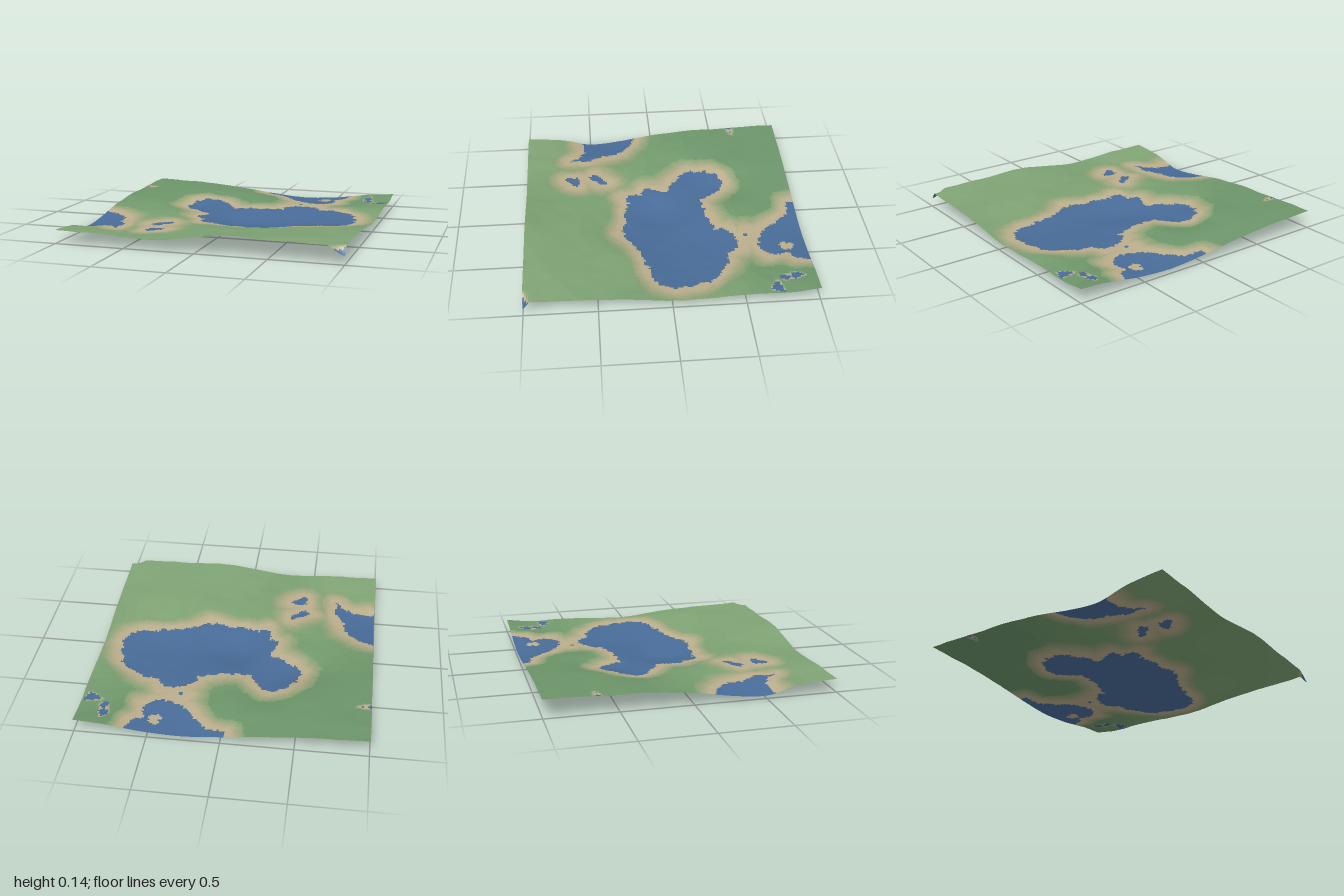
import * as THREE from 'three';

const CELLS = 144; // ground cells per side

// Ground heights in thousandths, rows from back to front, columns from x = -1 to x = 1
const HEIGHTS = [
  [142, 130, 119, 92, 62, 42, 52, 85, 105],
  [132, 130, 123, 103, 84, 60, 55, 71, 82],
  [125, 122, 111, 67, 82, 68, 56, 74, 87],
  [118, 111, 66, 50, 50, 44, 42, 53, 74],
  [92, 96, 87, 56, 10, 22, 30, 48, 68],
  [48, 70, 88, 62, 45, 46, 67, 82, 94],
  [32, 61, 70, 76, 84, 92, 98, 106, 109],
  [87, 75, 72, 80, 100, 116, 121, 122, 118],
  [105, 100, 88, 82, 118, 145, 137, 130, 130],
];

// Shorelines as (x, z) corners
const mainLake = [
  [-0.37, -0.48], [-0.27, -0.5], [-0.16, -0.38], [-0.15, -0.3], [0, -0.32], [0.2, -0.36], [0.25, -0.38],
  [0.25, -0.45], [0.38, -0.52], [0.48, -0.52], [0.52, -0.44], [0.62, -0.42], [0.72, -0.36], [0.81, -0.28],
  [0.85, -0.15], [0.88, -0.02], [0.82, 0.08], [0.7, 0.14], [0.5, 0.17], [0.37, 0.22], [0.25, 0.3],
  [0.1, 0.27], [-0.02, 0.27], [-0.1, 0.24], [-0.2, 0.27], [-0.22, 0.15], [-0.28, 0.1], [-0.26, -0.06],
  [-0.36, -0.12], [-0.49, -0.24], [-0.46, -0.38],
];
const backLake = [
  [-0.08, -1.1], [-0.02, -0.95], [0.1, -0.92], [0.2, -0.82], [0.27, -0.72], [0.4, -0.66], [0.5, -0.69],
  [0.57, -0.72], [0.55, -0.85], [0.63, -0.9], [0.66, -1.1],
];
const leftLake = [
  [-1.1, 0.13], [-0.98, 0.15], [-0.88, 0.2], [-0.8, 0.27], [-0.76, 0.4], [-0.71, 0.52], [-0.7, 0.66],
  [-0.75, 0.6], [-0.82, 0.56], [-1.1, 0.57],
];
const ponds = [
  [[-0.51, 0.49], [-0.38, 0.39], [-0.37, 0.45], [-0.46, 0.52]],
  [[-0.47, 0.61], [-0.35, 0.61], [-0.37, 0.65], [-0.45, 0.7]],
  [[0.3, -0.6], [0.36, -0.6], [0.35, -0.57]],
];
const puddles = [
  [[0.79, -0.86], [0.83, -0.92], [0.86, -0.78], [0.82, -0.77]],
  [[0.87, -0.73], [0.97, -0.75], [0.95, -0.68]],
  [[0.9, 1], [1, 0.96], [1.1, 1.1]],
  [[-1.1, -0.66], [-0.91, -0.65], [-0.95, -0.63]],
];
// Each water body with the width of its sandy margin
const waters = [
  [mainLake, 0.14], [backLake, 0.14], [leftLake, 0.16],
  ...ponds.map((p) => [p, 0.16]), ...puddles.map((p) => [p, 0.02]),
];

// Smooth value noise from an integer hash
function hash(i, j) {
  let n = (Math.imul(i, 374761393) + Math.imul(j, 668265263)) | 0;
  n = Math.imul(n ^ (n >>> 13), 1274126177);
  return ((n ^ (n >>> 16)) >>> 0) / 4294967296 - 0.5;
}
function noise(x, z) {
  const i = Math.floor(x), j = Math.floor(z);
  const u = THREE.MathUtils.smoothstep(x - i, 0, 1), v = THREE.MathUtils.smoothstep(z - j, 0, 1);
  const { lerp } = THREE.MathUtils;
  return lerp(lerp(hash(i, j), hash(i + 1, j), u), lerp(hash(i, j + 1), hash(i + 1, j + 1), u), v);
}

// Smooth curve through a row of evenly spaced values
function spline(values, t) {
  const i = Math.min(Math.floor(t), values.length - 2), f = t - i;
  const at = (k) => values[THREE.MathUtils.clamp(k, 0, values.length - 1)];
  const a = at(i - 1), b = at(i), c = at(i + 1), d = at(i + 2);
  return b + 0.5 * f * (c - a + f * (2 * a - 5 * b + 4 * c - d + f * (3 * (b - c) + d - a)));
}
function groundHeight(x, z) {
  const base = spline(HEIGHTS.map((row) => spline(row, (x + 1) * 4)), (z + 1) * 4) / 1000;
  const rough = 0.006 * noise(x * 6 + 9, z * 6) + 0.003 * noise(x * 14, z * 14 + 5);
  // Small steep hollow at the front left corner
  const hollow = 0.06 * (1 - THREE.MathUtils.smoothstep(Math.hypot((x - 1) / 2, z - 1), 0, 0.06));
  return base + rough - hollow;
}

// Distance to a shoreline, negative inside
function shoreDistance(outline, x, z) {
  let best = Infinity, inside = false;
  outline.forEach(([ax, az], i) => {
    const [bx, bz] = outline[(i + 1) % outline.length];
    const dx = bx - ax, dz = bz - az;
    const t = THREE.MathUtils.clamp(((x - ax) * dx + (z - az) * dz) / (dx * dx + dz * dz), 0, 1);
    best = Math.min(best, Math.hypot(x - ax - t * dx, z - az - t * dz));
    if (az > z !== bz > z && x < ax + ((z - az) / dz) * dx) inside = !inside;
  });
  return inside ? -best : best;
}

// Colour bands: water, sand, sand fading to grass, then grass from dark to light
const sand = new THREE.Color(0xbbae8c), grass = new THREE.Color(0x779d6e);
const darkGrass = new THREE.Color(0x6d956a), lightGrass = new THREE.Color(0x80a475);
const FADES = 8, TONES = 8;
const bands = [{ name: 'lakeWater', color: new THREE.Color(0x486c98) }];
for (let i = 0; i < FADES; i++) {
  bands.push({ name: i ? `shoreFade${i}` : 'sandyShore', color: sand.clone().lerp(grass, i / FADES) });
}
for (let i = 0; i < TONES; i++) {
  bands.push({ name: `grassland${i + 1}`, color: darkGrass.clone().lerp(lightGrass, i / (TONES - 1)) });
}

function bandAt(x, z) {
  const ragged = 0.03 * noise(x * 22, z * 22) + 0.025 * noise(x * 45, z * 45);
  const drift = 1 + 0.4 * noise(x * 5, z * 5 + 4); // uneven width of the sand
  let margin = Infinity;
  for (const [outline, width] of waters) {
    const d = shoreDistance(outline, x, z);
    if (d + ragged * 0.9 < 0) {
      const onIslet = Math.hypot(x - 0.46, z + 0.86) + ragged < 0.045;
      return onIslet ? 1 : 0;
    }
    margin = Math.min(margin, (d + ragged * 0.4) / (width * drift));
  }
  if (margin < 1) return 1 + Math.floor(Math.max(0, (margin - 0.25) / 0.75) * FADES);
  const tone = 0.5 + 0.5 * z + 0.25 * x + 0.5 * noise(x * 3, z * 3 + 2);
  return 1 + FADES + Math.floor(THREE.MathUtils.clamp(tone, 0, 0.999) * TONES);
}

export function createModel() {
  const model = new THREE.Group();
  model.name = 'terrain';

  // Ground sheet
  const sheet = new THREE.PlaneGeometry(2, 2, CELLS, CELLS).rotateX(-Math.PI / 2);
  const pos = sheet.attributes.position;
  for (let i = 0; i < pos.count; i++) pos.setY(i, groundHeight(pos.getX(i), pos.getZ(i)));
  sheet.computeBoundingBox();
  sheet.translate(0, -sheet.boundingBox.min.y, 0);
  sheet.computeVertexNormals();

  // Sort each square cell into its colour band
  const faces = bands.map(() => []);
  const index = sheet.index.array;
  for (let k = 0; k < index.length; k += 6) {
    const cell = Array.from(index.slice(k, k + 6));
    const x = pos.getX(cell[0]) + 1 / CELLS, z = pos.getZ(cell[0]) + 1 / CELLS;
    faces[bandAt(x, z)].push(...cell);
  }

  // One mesh per band, sharing points and smooth normals so the seams vanish
  bands.forEach(({ name, color }, i) => {
    if (!faces[i].length) return;
    const geometry = new THREE.BufferGeometry();
    geometry.setAttribute('position', pos);
    geometry.setAttribute('normal', sheet.attributes.normal);
    geometry.setIndex(faces[i]);
    const mesh = new THREE.Mesh(geometry, new THREE.MeshStandardMaterial({ color, side: THREE.DoubleSide }));
    mesh.name = name;
    model.add(mesh);
  });
  return model;
}
